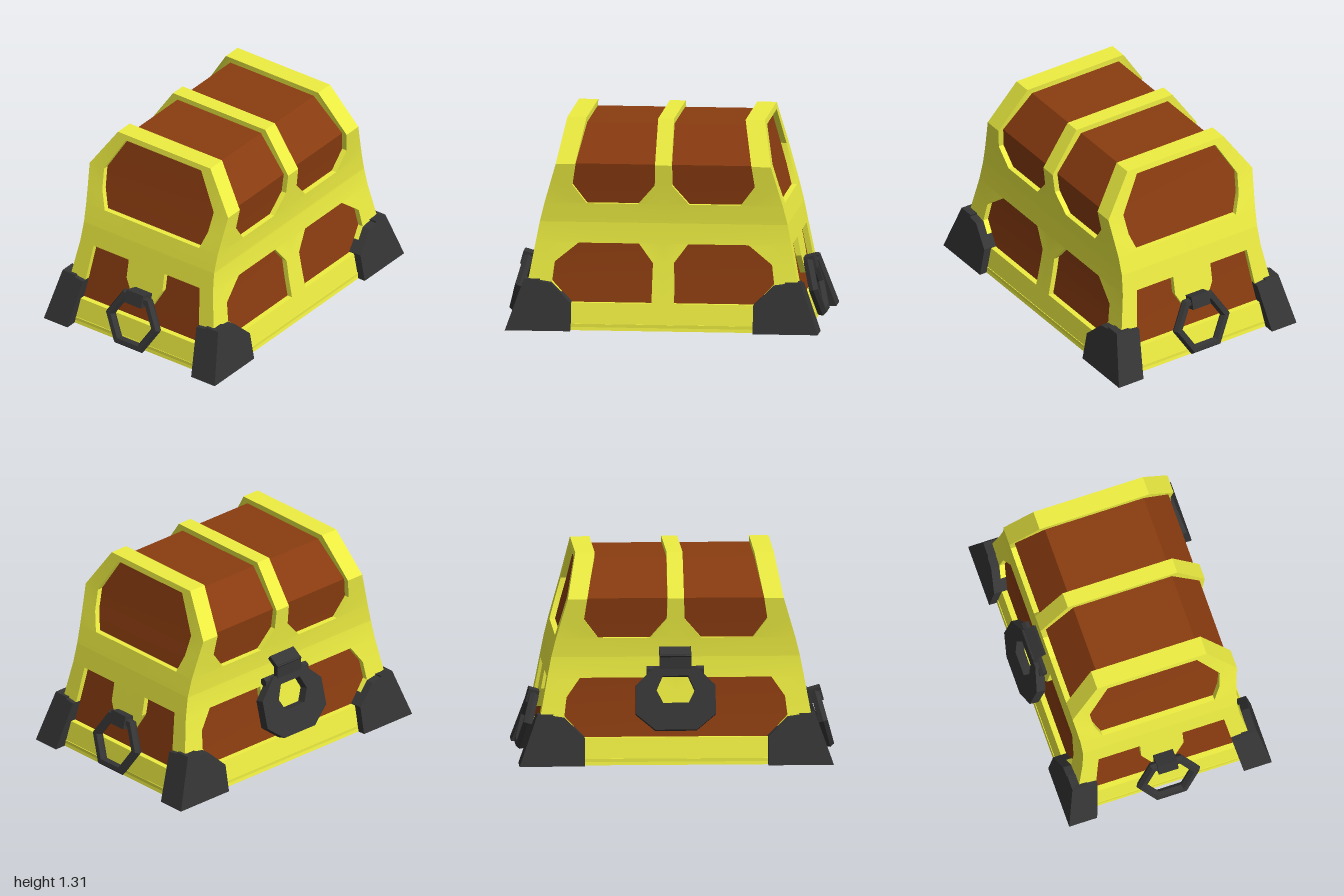
import * as THREE from 'three';
import { toCreasedNormals } from 'three/addons/utils/BufferGeometryUtils.js';
import { ConvexGeometry } from 'three/addons/geometries/ConvexGeometry.js';

const gold = new THREE.MeshStandardMaterial({ color: 0xeeee42, side: THREE.DoubleSide });
const wood = new THREE.MeshStandardMaterial({ color: 0x8a3c10 });
const iron = new THREE.MeshStandardMaterial({ color: 0x353535 });

const TOP = 1.31, MID = 1.672, SEAM = 0.67, DEPTH = 0.035;
const LEVELS = [0, 0.17, 0.3, 0.42, 0.54, SEAM, 0.79, 0.91, 1.04, 1.275, TOP, MID];

// Chest outline: [height, half width, half length]
const PROFILE = [
  [0, 0.62, 0.91], [0.3, 0.56, 0.85], [0.54, 0.52, 0.805], [SEAM, 0.51, 0.78],
  [0.79, 0.515, 0.75], [0.91, 0.528, 0.715], [1.04, 0.543, 0.677], [TOP, 0.362, 0.622],
];

// Rows are [height, a, b]; picks the segment that holds the whole band y0..y1
function sample(rows, y, y0 = y, y1 = y) {
  for (let i = 0; i < rows.length - 1; i++) {
    const p = rows[i], q = rows[i + 1];
    if (q[0] > p[0] && p[0] <= y0 + 1e-6 && q[0] >= y1 - 1e-6) {
      const k = (y - p[0]) / (q[0] - p[0]);
      return [p[1] + (q[1] - p[1]) * k, p[2] + (q[2] - p[2]) * k];
    }
  }
  return null;
}
const outline = (y) => sample(PROFILE, Math.min(y, TOP));

// Panel openings for one half of a wall: [height along wall, inner edge, outer edge]
const SIDE_LOW = [[0.17, 0.07, 0.575], [0.3, 0.068, 0.7], [0.42, 0.065, 0.685], [0.54, 0.155, 0.535]];
const LOCK_LOW = [[0.17, 0, 0.575], [0.3, 0, 0.7], [0.3, 0.1, 0.7], [0.42, 0.17, 0.685], [0.54, 0.17, 0.6]];
const SIDE_HIGH = [[0.79, 0.16, 0.485], [0.91, 0.055, 0.575], [1.04, 0.052, 0.555], [TOP, 0.05, 0.5], [MID, 0.05, 0.5]];
const END_LOW = [[0.17, 0, 0.47], [0.3, 0, 0.45], [0.3, 0.075, 0.445], [0.42, 0.14, 0.43], [0.54, 0.14, 0.415]];
const END_HIGH = [[0.79, 0, 0.37], [0.91, 0, 0.415], [1.04, 0, 0.43], [1.275, 0, 0.295]];

// Wall surfaces: t runs up the wall (and over the lid), u runs along it, d goes inwards
const sidePoint = (t, u, d) => {
  const x = t > TOP ? MID - t : outline(t)[0];
  return [Math.max(x - d, 0), Math.min(t, d ? 1.275 : TOP), u];
};
const endPoint = (t, u, d) => [u, t, outline(t)[1] - d];

function quad(out, a, b, c, d, flip) {
  const order = flip ? [a, c, b, a, d, c] : [a, b, c, a, c, d];
  for (const p of order) out.push(...p);
}

function surface(out) {
  const g = new THREE.BufferGeometry();
  g.setAttribute('position', new THREE.Float32BufferAttribute(out, 3));
  return toCreasedNormals(g, 0.45);
}

// One wall of the gold frame with its openings and their reveals
function addWall(out, isSide, s, opening, from, to) {
  const point = isSide ? sidePoint : endPoint;
  for (const m of [1, -1]) {
    const P = (t, u, d = 0) => {
      const p = point(t, u * m, d);
      return isSide ? [p[0] * s, p[1], p[2]] : [p[0], p[1], p[2] * s];
    };
    const flip = (s * m > 0) === isSide;
    const levels = LEVELS.filter((t) => t >= from && t <= to);
    for (let i = 0; i < levels.length - 1; i++) {
      const a = levels[i], b = levels[i + 1];
      const ea = outline(a)[isSide ? 1 : 0], eb = outline(b)[isSide ? 1 : 0];
      const oa = sample(opening, a, a, b), ob = sample(opening, b, a, b);
      const spans = oa ? [[0, oa[0], 0, ob[0]], [oa[1], ea, ob[1], eb]] : [[0, ea, 0, eb]];
      for (const [a0, a1, b0, b1] of spans) {
        if (a1 - a0 + b1 - b0 > 1e-5) quad(out, P(a, a0), P(a, a1), P(b, b1), P(b, b0), flip);
      }
    }
    const loop = [...opening.map((r) => [r[0], r[1]]), ...opening.map((r) => [r[0], r[2]]).reverse()];
    loop.forEach((p, i) => {
      const q = loop[(i + 1) % loop.length];
      if ((p[1] === 0 && q[1] === 0) || (p[0] === MID && q[0] === MID)) return;
      quad(out, P(...p), P(...q), P(...q, DEPTH), P(...p, DEPTH), flip);
    });
  }
}

function frame(from, to, side, lockSide, end) {
  const out = [];
  addWall(out, true, 1, side, from, to);
  addWall(out, true, -1, lockSide, from, to);
  for (const s of [1, -1]) addWall(out, false, s, end, from, Math.min(to, TOP));
  return surface(out);
}

// Wooden core that shows through the openings
function core() {
  const out = [];
  const rings = [0.05, ...PROFILE.slice(1).map((p) => p[0])].map((y) => {
    const [w, l] = outline(y).map((v) => v - DEPTH);
    const h = Math.min(y, 1.275);
    return [[w, h, l], [w, h, -l], [-w, h, -l], [-w, h, l]];
  });
  for (let i = 0; i < rings.length - 1; i++) {
    for (let k = 0; k < 4; k++) {
      const n = (k + 1) % 4;
      quad(out, rings[i][k], rings[i][n], rings[i + 1][n], rings[i + 1][k]);
    }
  }
  quad(out, ...rings[rings.length - 1]);
  return surface(out);
}

function polygon(points) {
  return new THREE.Shape(points.map(([x, y]) => new THREE.Vector2(x, y)));
}

export function createModel() {
  const model = new THREE.Group();
  const chest = new THREE.Group();
  chest.name = 'chest';
  chest.position.set(0.02, 0, -0.015);
  model.add(chest);

  const add = (name, geometry, material, parent = chest, x = 0, y = 0, z = 0) => {
    const mesh = new THREE.Mesh(geometry, material);
    mesh.name = name;
    mesh.position.set(x, y, z);
    parent.add(mesh);
    return mesh;
  };

  add('baseFrame', frame(0, SEAM, SIDE_LOW, LOCK_LOW, END_LOW), gold);
  add('lidFrame', frame(SEAM, MID, SIDE_HIGH, SIDE_HIGH, END_HIGH), gold);
  add('woodPanels', core(), wood);

  // Underside with a shallow recess
  const rect = (w, l) => polygon([[-w, -l], [w, -l], [w, l], [-w, l]]);
  const rim = rect(0.616, 0.906);
  rim.holes.push(rect(0.47, 0.6));
  const rimGeo = new THREE.ExtrudeGeometry(rim, { depth: 0.04, bevelEnabled: false });
  add('bottomRim', rimGeo.rotateX(-Math.PI / 2), gold);
  add('bottomPlate', new THREE.BoxGeometry(1, 0.015, 1.3), gold, chest, 0, 0.043, 0);

  // Corner guards: one plate on the end and one on the side
  const edge = (y) => [0.67 - 0.06 * y / 0.32, 0.985 - 0.115 * y / 0.32];
  for (const sx of [1, -1]) for (const sz of [1, -1]) {
    const guard = new THREE.Group();
    guard.name = 'cornerGuard';
    chest.add(guard);
    const hull = (name, pts) =>
      add(name, new ConvexGeometry(pts.map(([x, y, z]) => new THREE.Vector3(x * sx, y, z * sz))), iron, guard);
    const endPts = [], sidePts = [];
    for (const [x, y] of [[0.67, 0], [0.61, 0.32], [0.445, 0.3], [0.485, 0]]) {
      for (const d of [0, 0.1]) endPts.push([x, y, edge(y)[1] - d]);
    }
    for (const [z, y] of [[0.985, 0], [0.87, 0.32], [0.7, 0.295], [0.575, 0.175], [0.575, 0]]) {
      for (const d of [0, 0.1]) sidePts.push([edge(y)[0] - d, y, z]);
    }
    hull('guardEnd', endPts);
    hull('guardSide', sidePts);
  }

  // Hexagonal ring handles
  for (const s of [1, -1]) {
    const handle = new THREE.Group();
    handle.name = s > 0 ? 'frontHandle' : 'backHandle';
    handle.position.set(0, 0.21, s * 0.926 + 0.015);
    handle.rotation.y = s > 0 ? 0 : Math.PI;
    chest.add(handle);
    const ring = new THREE.TorusGeometry(0.178, 0.033, 6, 6).toNonIndexed();
    ring.computeVertexNormals();
    add('handleRing', ring, iron, handle).rotation.x = -0.27;
    add('handleClamp', new THREE.BoxGeometry(0.13, 0.085, 0.1), iron, handle, 0, 0.145, -0.05).rotation.x = -0.27;
  }

  // Hanging padlock and its hasp
  const lock = new THREE.Group();
  lock.name = 'padlock';
  lock.position.set(-0.625, 0.42, -0.005);
  lock.rotation.z = -0.26;
  chest.add(lock);
  const plate = polygon([[-0.13, -0.2], [0.13, -0.2], [0.25, -0.1], [0.25, 0.08], [0.13, 0.2], [-0.13, 0.2], [-0.25, 0.08], [-0.25, -0.1]]);
  plate.holes.push(polygon([[-0.08, -0.03], [0.08, -0.03], [0.12, 0.05], [0.08, 0.14], [-0.08, 0.14], [-0.12, 0.05]]));
  const plateGeo = new THREE.ExtrudeGeometry(plate, { depth: 0.06, bevelEnabled: false });
  plateGeo.translate(0, 0, -0.03).rotateY(-Math.PI / 2);
  add('lockPlate', plateGeo, iron, lock);

  const pin = new THREE.CylinderGeometry(0.028, 0.028, 0.36, 6).toNonIndexed().rotateX(Math.PI / 2);
  pin.computeVertexNormals();
  add('lockPin', pin, iron, chest, -0.565, 0.59, -0.005);
  add('haspTop', new THREE.BoxGeometry(0.09, 0.03, 0.2), iron, chest, -0.567, 0.7, -0.005).rotation.z = 0.6;
  add('haspFront', new THREE.BoxGeometry(0.03, 0.11, 0.2), iron, chest, -0.592, 0.64, -0.005);

  return model;
}
